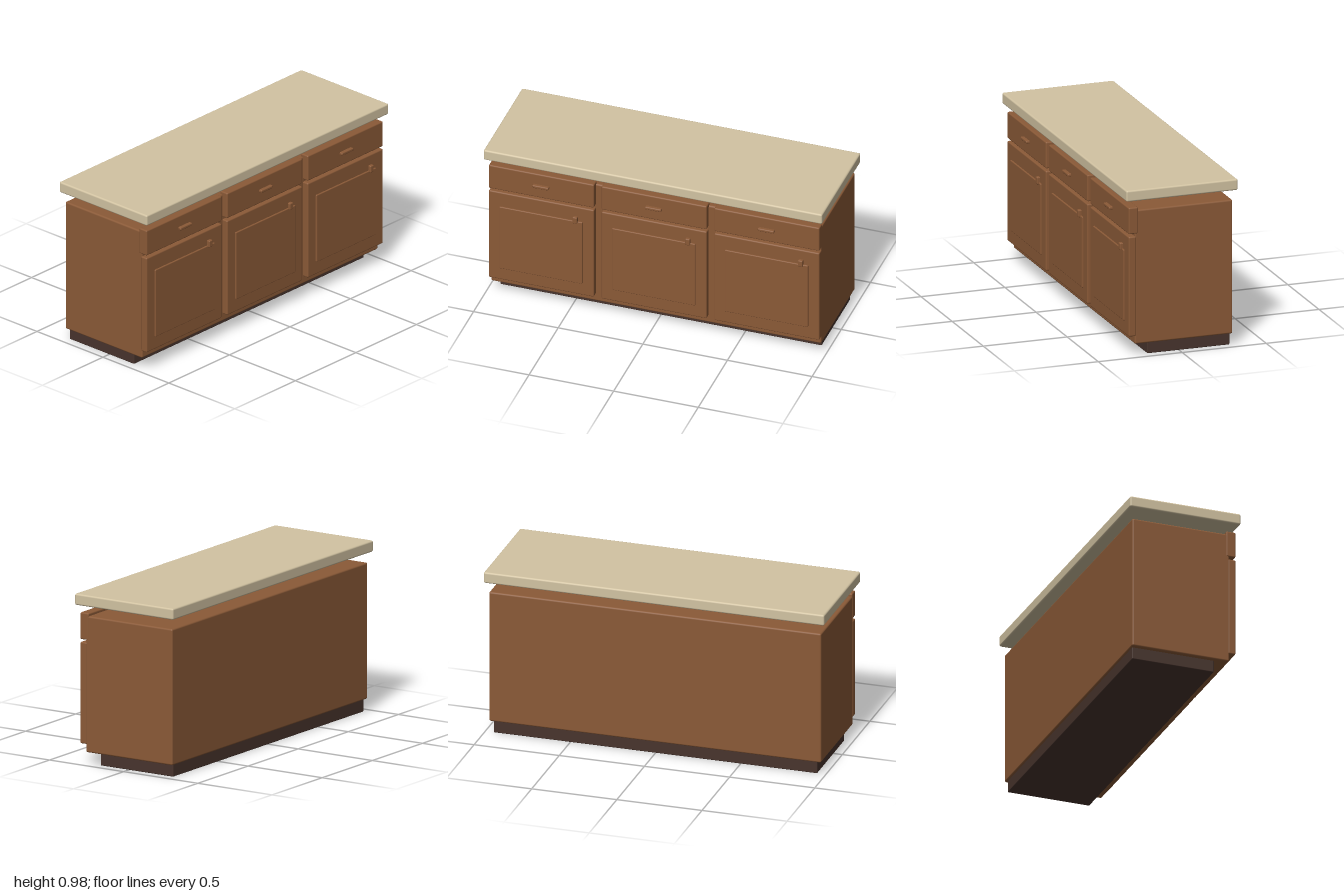
import * as THREE from 'three';
import { RoundedBoxGeometry } from 'three/addons/geometries/RoundedBoxGeometry.js';

function material(name, color) {
  const m = new THREE.MeshStandardMaterial({ color });
  m.name = name;
  return m;
}

export function createModel() {
  const wood = material('brown wood', 0x8b5a37);
  const stone = material('beige worktop', 0xd2c3a2);
  const dark = material('dark plinth', 0x48342d);

  const model = new THREE.Group();
  model.name = 'kitchenIsland';

  // Softly rounded block given by its limits on each axis
  function block(parent, name, mat, [x0, x1], [y0, y1], [z0, z1], radius) {
    const geometry = new RoundedBoxGeometry(x1 - x0, y1 - y0, z1 - z0, 2, radius);
    const mesh = new THREE.Mesh(geometry, mat);
    mesh.position.set((x0 + x1) / 2, (y0 + y1) / 2, (z0 + z1) / 2);
    mesh.name = name;
    parent.add(mesh);
  }

  // Recessed base, cabinet and floating worktop
  block(model, 'plinth', dark, [-0.3, 0.19], [0, 0.09], [-0.95, 0.95], 0.005);
  block(model, 'cabinet', wood, [-0.31, 0.273], [0.07, 0.853], [-0.975, 0.975], 0.01);
  block(model, 'worktop', stone, [-0.332, 0.332], [0.913, 0.978], [-1, 1], 0.01);

  // Three identical bays, each with a drawer above a door
  for (const z of [0.666, 0, -0.666]) {
    const bay = new THREE.Group();
    bay.name = 'bay';
    bay.position.z = z;
    block(bay, 'drawerFront', wood, [0.253, 0.31], [0.715, 0.87], [-0.311, 0.311], 0.008);
    block(bay, 'drawerHandle', wood, [0.3, 0.329], [0.785, 0.803], [-0.048, 0.048], 0.006);
    block(bay, 'door', wood, [0.265, 0.31], [0.117, 0.7], [-0.311, 0.311], 0.008);
    block(bay, 'doorPanel', wood, [0.295, 0.318], [0.195, 0.608], [-0.246, 0.246], 0.005);
    block(bay, 'doorKnob', wood, [0.3, 0.328], [0.597, 0.639], [-0.217, -0.189], 0.006);
    model.add(bay);
  }
  return model;
}
